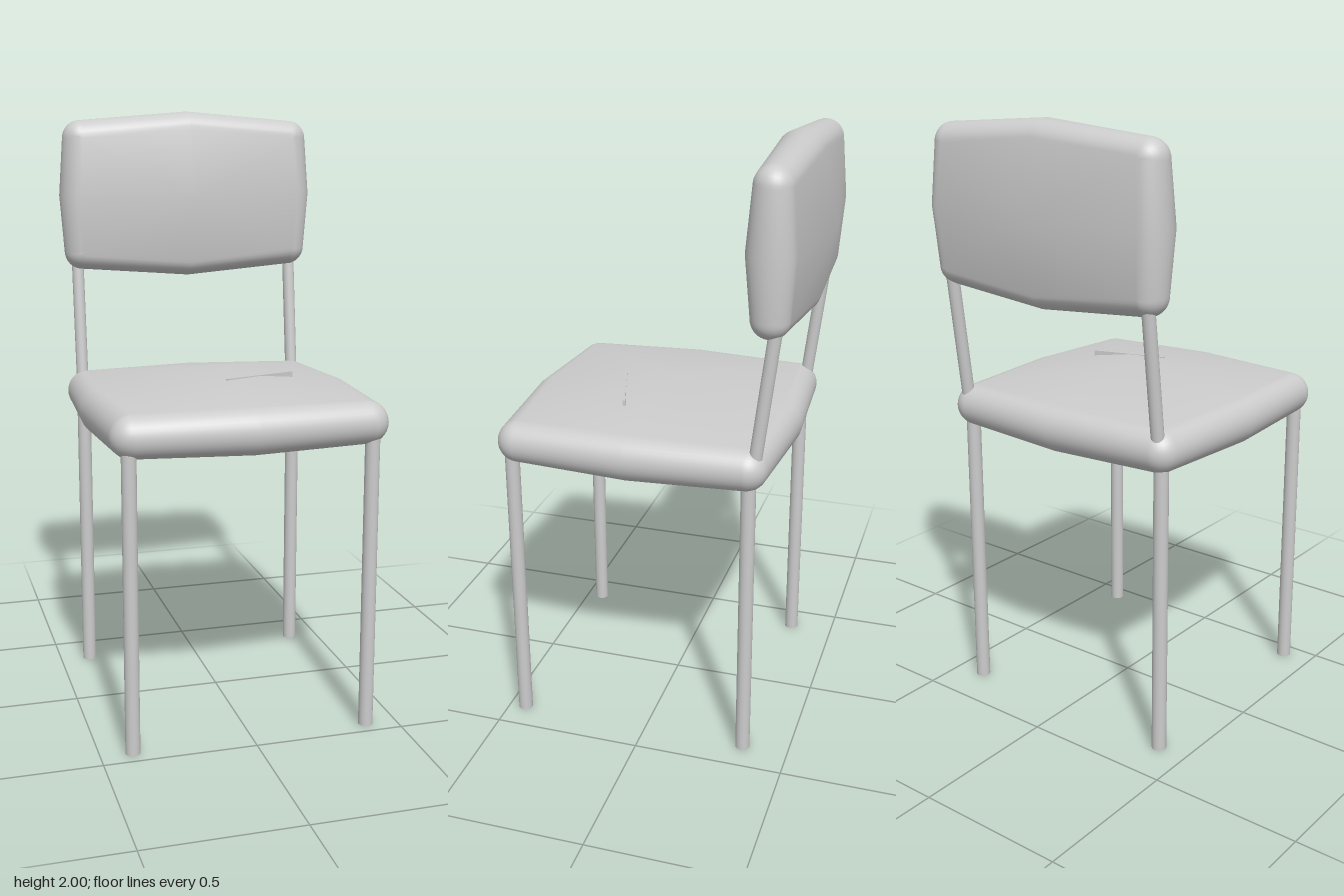
import * as THREE from 'three';
import { mergeVertices } from 'three/addons/utils/BufferGeometryUtils.js';

// Padded cushion in the xy plane: round rim, edges bowed at their middles, peaked faces.
// corner/mid: half sizes at the corners and edge middles; r: rim radius;
// midT/peakT: half thickness at the edge middles and the centre.
function cushionGeometry({ corner, mid, r, midT, peakT }) {
  const steps = 8, rings = 16;
  const outline = [];
  for (let q = 0; q < 4; q++) {
    const a0 = q * Math.PI / 2;
    const dx = Math.round(Math.cos(a0)), dy = Math.round(Math.sin(a0));
    // middle of an edge
    outline.push({ x: dx * (mid[0] - r), y: dy * (mid[1] - r), nx: dx, ny: dy, t: midT });
    // rounded corner after it
    const sx = q === 0 || q === 3 ? 1 : -1, sy = q < 2 ? 1 : -1;
    for (let i = 0; i <= steps; i++) {
      const a = a0 + (i / steps) * Math.PI / 2;
      outline.push({
        x: sx * (corner[0] - r), y: sy * (corner[1] - r),
        nx: Math.cos(a), ny: Math.sin(a), t: r
      });
    }
  }
  const n = outline.length, pos = [], index = [];
  for (let j = 0; j <= rings; j++) {
    const phi = (j / rings - 0.5) * Math.PI;
    const c = r * Math.cos(phi), s = Math.sin(phi);
    for (const p of outline) pos.push(p.x + p.nx * c, p.y + p.ny * c, p.t * s);
  }
  for (let j = 0; j < rings; j++) {
    for (let i = 0; i < n; i++) {
      const k = (i + 1) % n;
      const a = j * n + i, b = j * n + k, c = b + n, d = a + n;
      index.push(a, b, c, a, c, d);
    }
  }
  // peaked faces
  const back = pos.length / 3, front = back + 1;
  pos.push(0, 0, -peakT, 0, 0, peakT);
  for (let i = 0; i < n; i++) {
    const k = (i + 1) % n;
    index.push(front, rings * n + i, rings * n + k, back, k, i);
  }
  let geo = new THREE.BufferGeometry();
  geo.setAttribute('position', new THREE.Float32BufferAttribute(pos, 3));
  geo.setIndex(index);
  geo = mergeVertices(geo, 1e-5);
  geo.computeVertexNormals();
  return geo;
}

// Round tube between two points
function rod(name, from, to, radius, material) {
  const a = new THREE.Vector3(...from), b = new THREE.Vector3(...to);
  const dir = b.clone().sub(a);
  const mesh = new THREE.Mesh(new THREE.CylinderGeometry(radius, radius, dir.length(), 20), material);
  mesh.position.copy(a).add(b).multiplyScalar(0.5);
  mesh.quaternion.setFromUnitVectors(new THREE.Vector3(0, 1, 0), dir.normalize());
  mesh.name = name;
  return mesh;
}

export function createModel() {
  const group = new THREE.Group();
  group.name = 'chair';
  const grey = new THREE.MeshStandardMaterial({ color: 0xcccccc });
  grey.name = 'light grey';

  // Seat cushion
  const seat = new THREE.Mesh(cushionGeometry({
    corner: [0.452, 0.447], mid: [0.473, 0.473], r: 0.07, midT: 0.076, peakT: 0.133
  }), grey);
  seat.name = 'seat';
  seat.rotation.x = -Math.PI / 2;
  seat.position.set(0, 1.025, 0.043);
  group.add(seat);

  // Backrest cushion
  const backrest = new THREE.Mesh(cushionGeometry({
    corner: [0.443, 0.258], mid: [0.457, 0.289], r: 0.062, midT: 0.077, peakT: 0.122
  }), grey);
  backrest.name = 'backrest';
  backrest.position.set(0, 1.711, -0.397);
  group.add(backrest);

  // Legs and the leaning posts that carry the backrest
  for (const side of [1, -1]) {
    const label = side > 0 ? 'left' : 'right', x = side * 0.395;
    group.add(rod(label + 'FrontLeg', [x, 0, 0.443], [x, 1.02, 0.443], 0.024, grey));
    group.add(rod(label + 'BackLeg', [x, 0, -0.346], [x, 1.02, -0.346], 0.024, grey));
    group.add(rod(label + 'BackPost', [x, 1.03, -0.361], [x, 1.5, -0.419], 0.021, grey));
  }

  // Thin sliver standing out of the seat
  const sliver = new THREE.Mesh(new THREE.BoxGeometry(0.26, 0.04, 0.008), grey);
  sliver.name = 'seatSliver';
  sliver.position.set(0.11, 1.122, 0.151);
  sliver.rotation.y = 0.302;
  group.add(sliver);

  return group;
}
